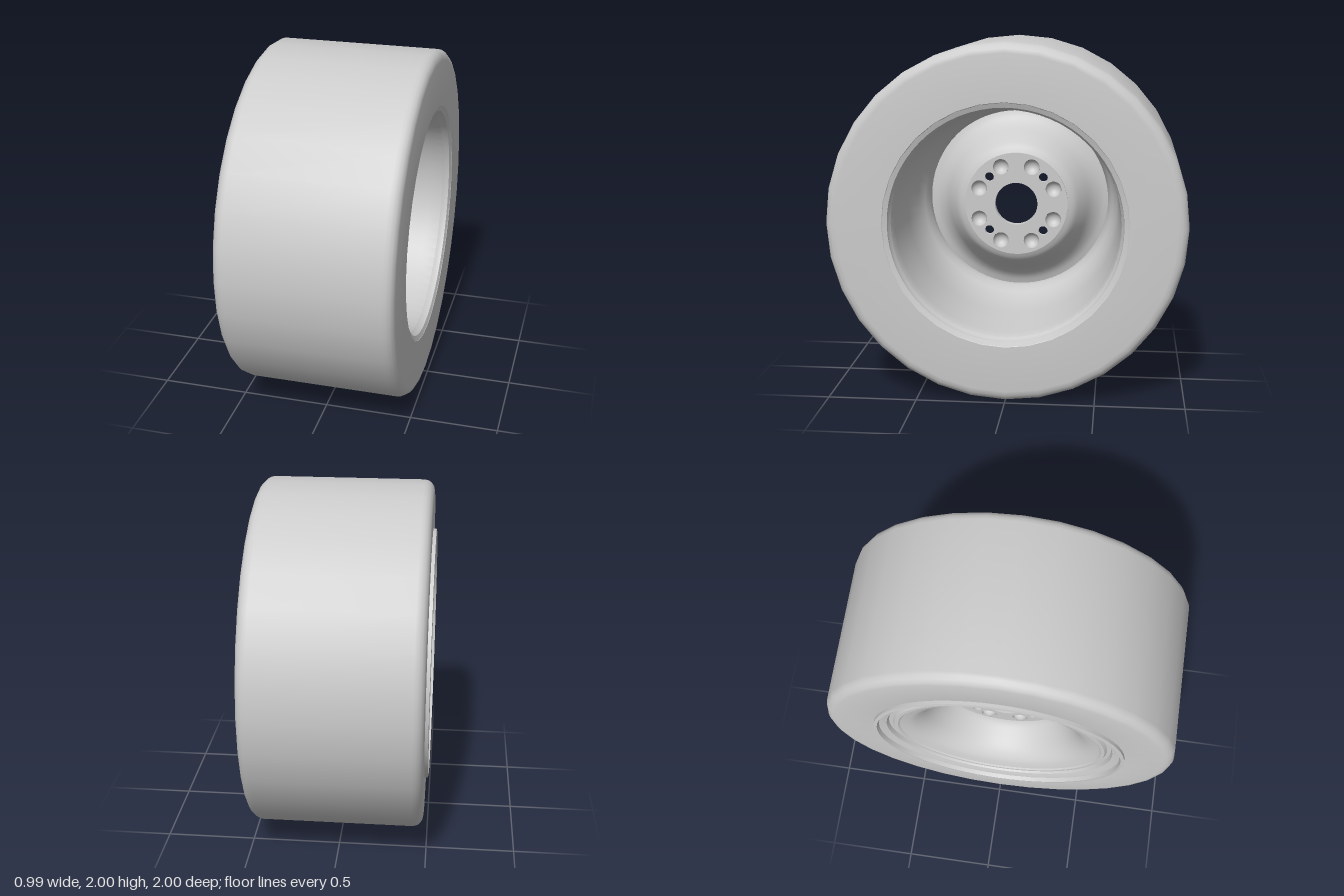
import * as THREE from 'three';
import { toCreasedNormals } from 'three/addons/utils/BufferGeometryUtils.js';

const grey = new THREE.MeshStandardMaterial({ color: 0xcccccc, side: THREE.DoubleSide });
const vectors = (pairs) => pairs.map(([r, x]) => new THREE.Vector2(r, x));

// Revolve a profile of (radius, position along axle) about the x axis
function revolve(name, points, segments, crease = 0.6) {
  const geo = new THREE.LatheGeometry(points, segments).rotateZ(-Math.PI / 2);
  const mesh = new THREE.Mesh(toCreasedNormals(geo, crease), grey);
  mesh.name = name;
  return mesh;
}

export function createModel() {
  const wheel = new THREE.Group();
  wheel.name = 'wheel';

  // Wide slick tyre with small rounded shoulders
  wheel.add(revolve('tyre', vectors([
    [0.67, -0.47], [0.70, -0.478], [0.94, -0.478], [0.965, -0.473], [0.985, -0.458],
    [0.996, -0.44], [1, -0.42], [1, 0.43], [0.996, 0.452], [0.985, 0.472],
    [0.965, 0.486], [0.94, 0.49], [0.68, 0.49], [0.665, 0.475],
  ]), 32));

  // Rim: outer lip, bead groove, narrow well and long open barrel
  wheel.add(revolve('rim', vectors([
    [0.72, -0.475], [0.72, -0.497], [0.70, -0.5], [0.69, -0.472], [0.65, -0.462],
    [0.64, -0.44], [0.618, -0.44], [0.605, -0.46], [0.585, -0.46], [0.55, -0.43],
    [0.55, -0.36], [0.575, -0.31], [0.605, -0.25], [0.62, 0], [0.63, 0.36],
    [0.636, 0.44], [0.648, 0.455], [0.65, 0.478], [0.68, 0.489],
  ]), 64));

  // Bowl-shaped disc sinking from the rim to the hub
  const bowl = new THREE.SplineCurve(vectors([
    [0.59, -0.455], [0.55, -0.445], [0.5, -0.425], [0.45, -0.38], [0.4, -0.305],
    [0.355, -0.245], [0.31, -0.22],
  ]));
  wheel.add(revolve('disc', bowl.getPoints(24), 64));

  // Hub plate with centre bore, eight lug seats and four small through holes
  const hub = new THREE.Group();
  hub.name = 'hub';
  const plate = new THREE.Shape().absarc(0, 0, 0.31, 0, Math.PI * 2);
  const hole = (y, z, r) => plate.holes.push(new THREE.Path().absarc(z, y, r, 0, Math.PI * 2, true));
  hole(0, 0, 0.128);
  for (let i = 0; i < 4; i++) {
    const a = Math.PI / 4 + i * Math.PI / 2;
    hole(Math.sin(a) * 0.23, Math.cos(a) * 0.23, 0.027);
  }
  const cup = new THREE.SphereGeometry(0.047, 20, 8, 0, Math.PI * 2, 0, Math.PI / 2).rotateZ(Math.PI / 2);
  for (let i = 0; i < 8; i++) {
    const a = Math.PI / 8 + i * Math.PI / 4;
    const y = Math.sin(a) * 0.243, z = Math.cos(a) * 0.243;
    hole(y, z, 0.047);
    const seat = new THREE.Mesh(cup, grey);
    seat.name = 'lugSeat';
    seat.position.set(-0.205, y, z);
    hub.add(seat);
  }
  const plateGeo = new THREE.ExtrudeGeometry(plate, { depth: 0.03, bevelEnabled: false, curveSegments: 32 });
  const plateMesh = new THREE.Mesh(plateGeo.rotateY(Math.PI / 2), grey);
  plateMesh.name = 'hubPlate';
  plateMesh.position.x = -0.235;
  hub.add(plateMesh);

  // Short collar around the bore
  hub.add(revolve('boreCollar', vectors([
    [0.145, -0.235], [0.142, -0.25], [0.128, -0.25], [0.128, -0.205],
  ]), 48));
  wheel.add(hub);

  wheel.position.y = 1;
  const model = new THREE.Group();
  model.name = 'wheelAssembly';
  model.add(wheel);
  return model;
}
